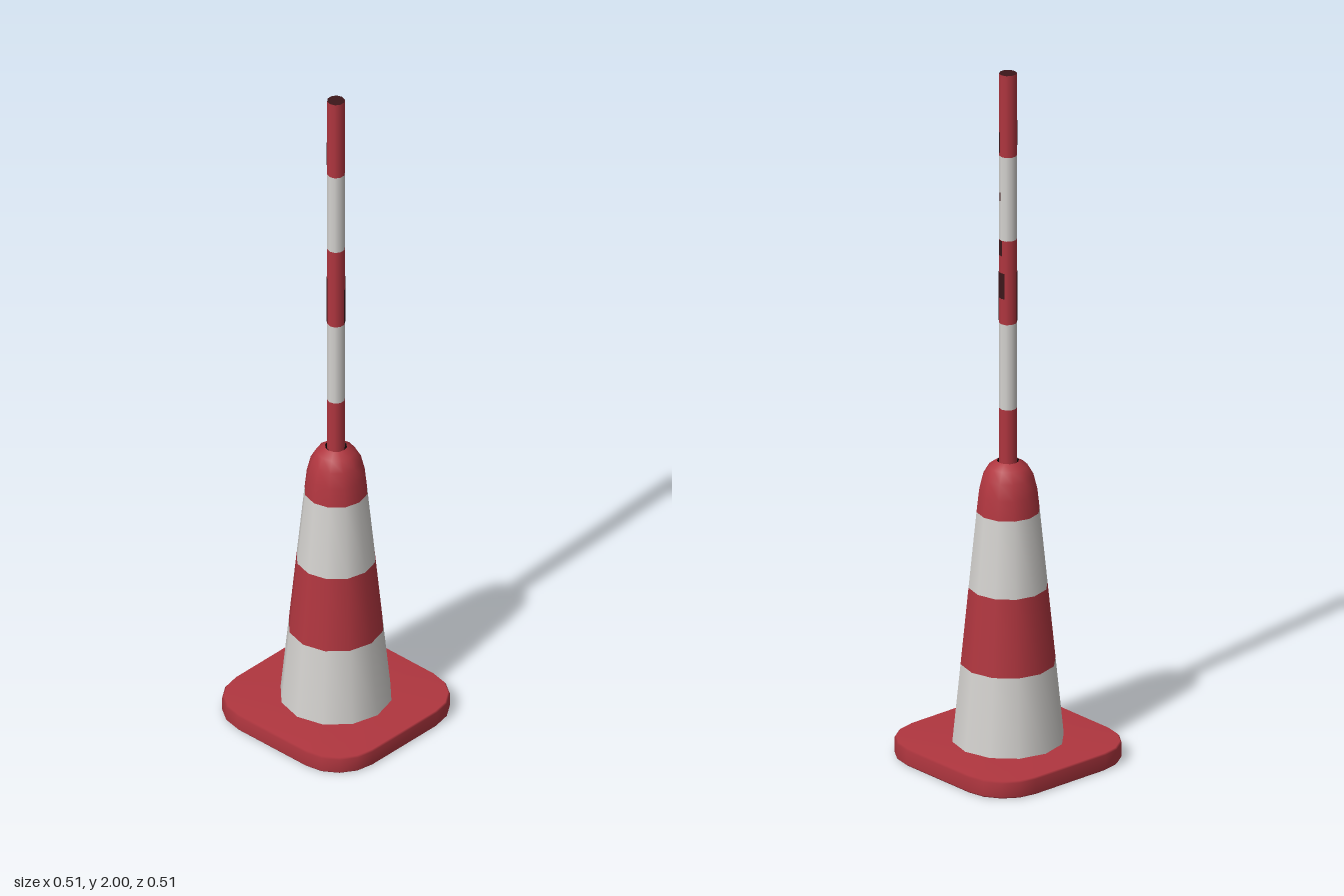
import * as THREE from 'three';

function flat(name, color, side = THREE.FrontSide) {
  const material = new THREE.MeshStandardMaterial({ color, side });
  material.name = name;
  return material;
}
const red = flat('red plastic', 0xb0363f);
const white = flat('white band', 0xd4d2cf);
const grime = flat('dark red grime', 0x3c171a, THREE.DoubleSide);
const black = flat('black hollow', 0x060404, THREE.DoubleSide);

const v2 = ([r, y]) => new THREE.Vector2(r, y);

function add(parent, name, geometry, material) {
  const mesh = new THREE.Mesh(geometry, material);
  mesh.name = name;
  parent.add(mesh);
  return mesh;
}

// Rounded-square foot with a round opening, lofted through a series of rings
function footGeometry() {
  const outline = [], opening = [];
  for (let corner = 0; corner < 4; corner++) {
    const c = (corner + 0.5) * Math.PI / 2;
    const d = 0.127 * Math.SQRT2;
    for (let i = 0; i <= 4; i++) {
      const a = (corner + i / 4) * Math.PI / 2;
      outline.push([Math.cos(c) * d + Math.cos(a) * 0.128, Math.sin(c) * d + Math.sin(a) * 0.128]);
      const b = c + (i - 2) * Math.PI / 10;
      opening.push([Math.cos(b) * 0.132, Math.sin(b) * 0.132]);
    }
  }
  const rings = [
    [opening, 1, 0.004], [outline, 0.985, 0], [outline, 1, 0.005],
    [outline, 1, 0.045], [outline, 0.985, 0.05], [opening, 1, 0.053],
  ];
  const n = outline.length;
  const positions = [], index = [];
  rings.forEach(([ring, s, y]) => ring.forEach(([x, z]) => positions.push(x * s, y, z * s)));
  for (let r = 0; r < rings.length - 1; r++) {
    const lo = r * n, hi = lo + n;
    for (let i = 0; i < n; i++) {
      const j = (i + 1) % n;
      index.push(lo + i, hi + i, lo + j, lo + j, hi + i, hi + j);
    }
  }
  const g = new THREE.BufferGeometry();
  g.setAttribute('position', new THREE.Float32BufferAttribute(positions, 3));
  g.setIndex(index);
  g.computeVertexNormals();
  return g;
}

export function createModel() {
  const model = new THREE.Group();
  model.name = 'trafficConeWithPole';

  add(model, 'foot', footGeometry(), red);

  // Tapered cone bands and the rounded shoulder
  const cone = new THREE.Group();
  cone.name = 'cone';
  model.add(cone);
  const bands = [
    ['lowerWhiteBand', [[0.154, 0.05], [0.131, 0.278]], white],
    ['middleRedBand', [[0.131, 0.278], [0.109, 0.5]], red],
    ['upperWhiteBand', [[0.109, 0.5], [0.087, 0.72]], white],
    ['shoulder', [[0.087, 0.72], [0.081, 0.775], [0.07, 0.82], [0.053, 0.85], [0.03, 0.865]], red],
    ['collarGap', [[0.03, 0.865], [0.022, 0.857]], black],
  ];
  for (const [name, profile, material] of bands) {
    add(cone, name, new THREE.LatheGeometry(profile.map(v2), 12), material);
  }
  // Lining of the hollow, open at the foot
  add(cone, 'hollowInside', new THREE.LatheGeometry(
    [[0.133, 0.004], [0.13, 0.2], [0.083, 0.7], [0.065, 0.8], [0, 0.84]].map(v2), 20), black);

  // Striped pole
  const pole = new THREE.Group();
  pole.name = 'pole';
  model.add(pole);
  const levels = [0.84, 1.02, 1.27, 1.515, 1.76, 2];
  for (let i = 0; i < 5; i++) {
    const h = levels[i + 1] - levels[i];
    const stripe = add(pole, 'poleStripe' + (i + 1),
      new THREE.CylinderGeometry(0.0245, 0.0245, h, 10, 1, true, Math.PI / 2), i % 2 ? white : red);
    stripe.position.y = levels[i] + h / 2;
  }
  const cap = add(pole, 'poleEnd', new THREE.CircleGeometry(0.0245, 10), grime);
  cap.rotation.x = -Math.PI / 2;
  cap.position.y = 1.999;

  // Thin grime marks around the pole: start and end angle, bottom and top
  const marks = [
    [12, 52, 1.275, 1.385], [50, 115, 1.345, 1.42], [60, 100, 1.47, 1.515], [58, 80, 1.77, 1.83],
    [72, 84, 1.63, 1.655], [205, 245, 1.275, 1.42], [212, 236, 1.79, 1.86],
  ];
  for (const [from, to, low, high] of marks) {
    const start = THREE.MathUtils.degToRad(from);
    const mark = add(pole, 'grimeMark', new THREE.CylinderGeometry(
      0.0252, 0.0252, high - low, 3, 1, true, start, THREE.MathUtils.degToRad(to) - start), grime);
    mark.position.y = (low + high) / 2;
  }
  return model;
}
